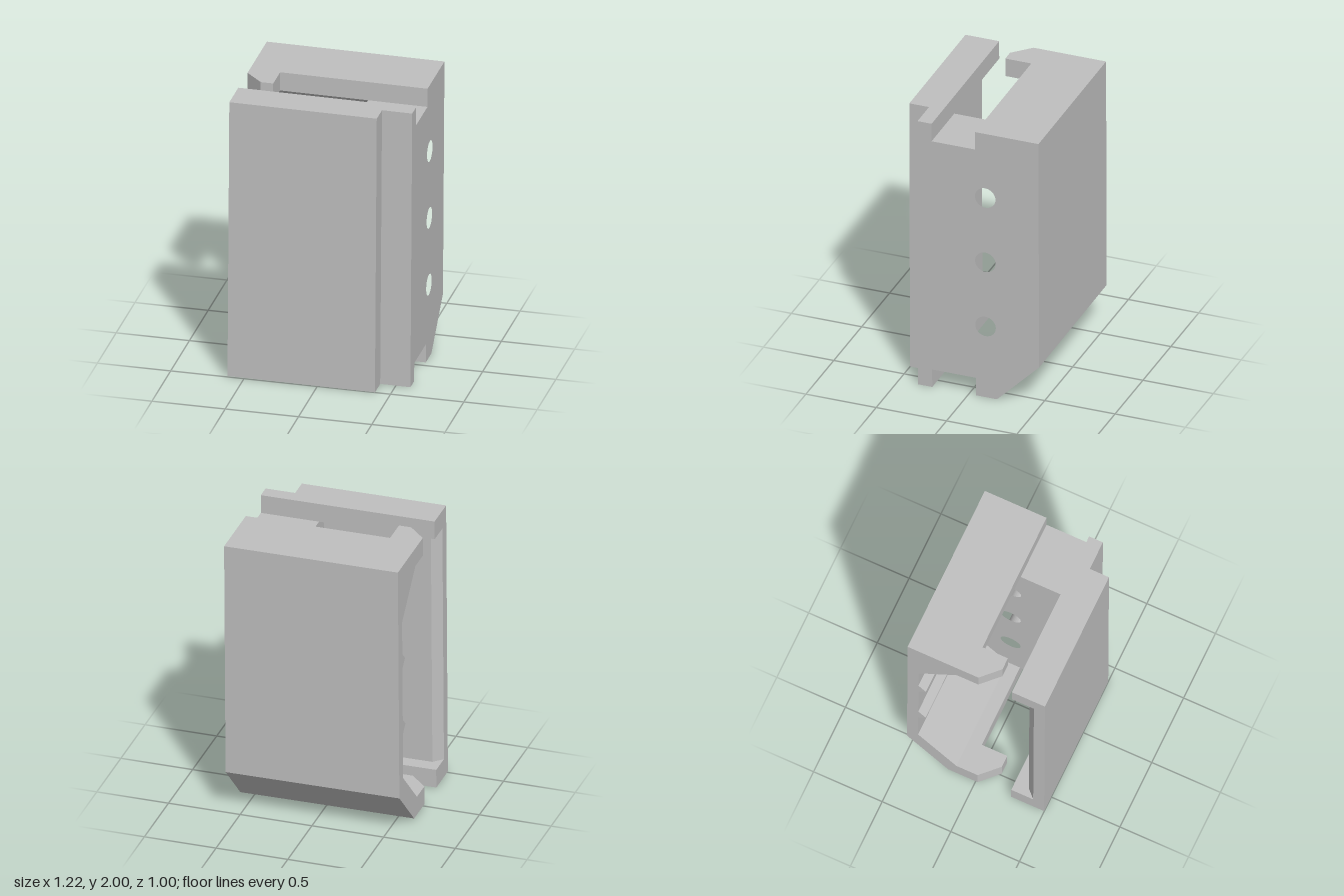
import * as THREE from 'three';
import { toCreasedNormals } from 'three/addons/utils/BufferGeometryUtils.js';

const grey = new THREE.MeshStandardMaterial({ color: 0xbfbfbf });
grey.name = 'plain grey';

// overall limits of the casing
const L = -0.606, R = 0.606, B = 0.006, T = 1.994;
const LIP = 0.132;                  // height of top and bottom flanges
const yLo = B + LIP, yHi = T - LIP; // flange inner faces
const WALL = 0.2;                   // inner face of the thick side wall

const toShape = (pts) => new THREE.Shape(pts.map(([a, b]) => new THREE.Vector2(a, b)));

function add(group, name, geometry) {
  const mesh = new THREE.Mesh(toCreasedNormals(geometry, 0.5), grey);
  mesh.name = name;
  group.add(mesh);
}

// side profile of (z, y) points, extruded along x
function sideExtrude(pts, x0, x1, holes = []) {
  const shape = toShape(pts.map(([z, y]) => [-z, y]));
  for (const [z, y, r] of holes) {
    shape.holes.push(new THREE.Path().absarc(-z, y, r, 0, Math.PI * 2, true));
  }
  return new THREE.ExtrudeGeometry(shape, { depth: x1 - x0, bevelEnabled: false, curveSegments: 40 })
    .rotateY(Math.PI / 2).translate(x0, 0, 0);
}

// plan of (x, z) points, extruded upwards
function planExtrude(pts, y0, y1) {
  return new THREE.ExtrudeGeometry(toShape(pts.map(([x, z]) => [x, -z])), { depth: y1 - y0, bevelEnabled: false })
    .rotateX(-Math.PI / 2).translate(0, y0, 0);
}

export function createModel() {
  const body = new THREE.Group();
  body.name = 'casing';

  // thick side wall with slots at both ends and three screw holes
  add(body, 'sideWall', sideExtrude([
    [-0.5, T], [-0.5, 0.306], [-0.2, B], [-0.05, B], [-0.05, yLo], [0.26, yLo], [0.26, B],
    [0.36, B], [0.36, T], [0.26, T], [0.26, yHi], [-0.05, yHi], [-0.05, T],
  ], WALL, R, [0.54, 1.025, 1.51].map((y) => [-0.12, y, 0.073])));

  // back shell: thin wall, sloped ends and two small ridges inside
  const ridge = (y) => [[-0.42, y - 0.055], [-0.365, y], [-0.42, y + 0.055]];
  add(body, 'backShell', sideExtrude([
    [-0.5, T], [-0.5, 0.306], [-0.2, B], [-0.05, B], [-0.05, yLo], [-0.14, yLo], [-0.42, yLo + 0.28],
    ...ridge(0.8), ...ridge(1.29),
    [-0.42, yHi - 0.28], [-0.14, yHi], [-0.05, yHi], [-0.05, T],
  ], L, WALL));

  // front plate with a bevelled inner edge at the open side
  add(body, 'frontPlate', planExtrude(
    [[L, 0.5], [0.4, 0.5], [0.4, 0.36], [L + 0.06, 0.36], [L, 0.42]], yLo, yHi));

  // front flanges and corner hooks, at the bottom and the top
  for (const [end, y0, y1] of [['bottom', B, yLo], ['top', yHi, T]]) {
    add(body, end + 'FrontFlange', planExtrude(
      [[L, 0.5], [0.4, 0.5], [0.4, 0.36], [WALL, 0.36], [WALL, 0.26], [L, 0.26]], y0, y1));
    add(body, end + 'Hook', planExtrude(
      [[L, -0.05], [L, 0.015], [-0.485, 0.135], [-0.4, 0.135], [-0.4, -0.05]], y0, y1));
  }

  // the casing leans very slightly to one side
  body.position.y = -1;
  const tilt = new THREE.Group();
  tilt.name = 'tiltedCasing';
  tilt.rotation.z = -0.0062;
  tilt.position.y = 1;
  tilt.add(body);

  const model = new THREE.Group();
  model.name = 'slottedCasing';
  model.add(tilt);
  return model;
}
